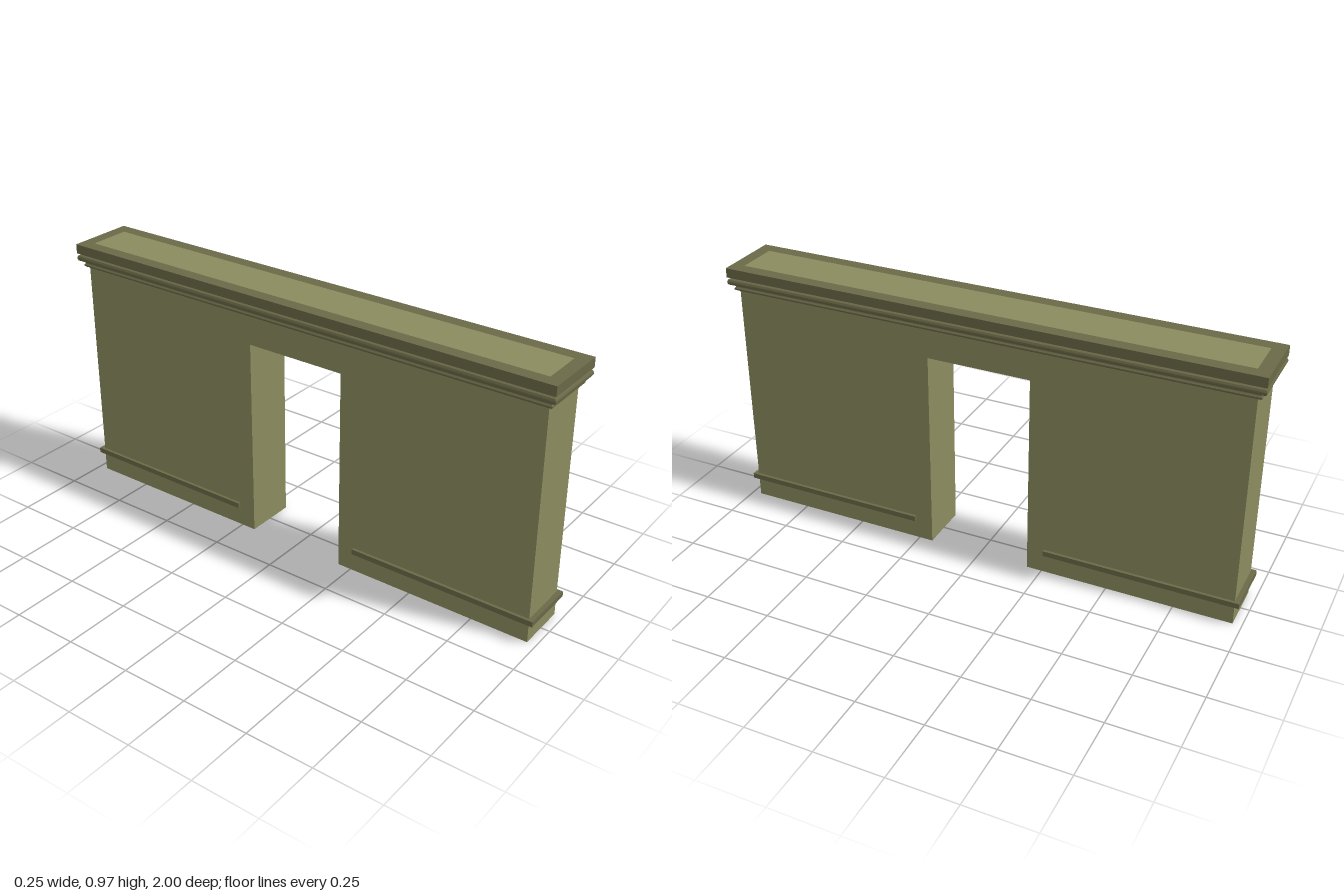
import * as THREE from 'three';

const wallMat = new THREE.MeshStandardMaterial({ color: 0x8b8b5f });
wallMat.name = 'olive wall';
const trimMat = new THREE.MeshStandardMaterial({ color: 0x6a6948 });
trimMat.name = 'dark olive trim';

// Sweep an [offset, y] profile, listed upwards, around a mitred rectangle
function sweepRectangle(halfX, halfZ, profile) {
  const corners = [[-1, 1], [1, 1], [1, -1], [-1, -1]];
  const point = (c, [o, y]) => [c[0] * (halfX + o), y, c[1] * (halfZ + o)];
  const pos = [];
  corners.forEach((c, i) => {
    const next = corners[(i + 1) % 4];
    for (let j = 0; j < profile.length - 1; j++) {
      const a = point(c, profile[j]), b = point(next, profile[j]);
      const d = point(c, profile[j + 1]), e = point(next, profile[j + 1]);
      pos.push(...a, ...b, ...e, ...a, ...e, ...d);
    }
  });
  const geo = new THREE.BufferGeometry();
  geo.setAttribute('position', new THREE.Float32BufferAttribute(pos, 3));
  geo.computeVertexNormals();
  return geo;
}

export function createModel() {
  const model = new THREE.Group();
  model.name = 'wallWithDoorway';

  const add = (name, geo, mat) => {
    const mesh = new THREE.Mesh(geo, mat);
    mesh.name = name;
    model.add(mesh);
    return mesh;
  };

  // Wall outline in (z, y) with the doorway cut from the bottom edge
  const outline = new THREE.Shape([
    [-0.967, 0], [-0.193, 0], [-0.193, 0.767], [0.197, 0.767],
    [0.197, 0], [0.967, 0], [0.967, 0.95], [-0.967, 0.95],
  ].map(([z, y]) => new THREE.Vector2(-z, y)));
  const wall = new THREE.ExtrudeGeometry(outline, { depth: 0.195, bevelEnabled: false });
  wall.translate(0, 0, -0.0975);
  wall.rotateY(Math.PI / 2);
  add('wall', wall, wallMat);

  // Moulded cornice: bead, rounded torus and square fascia
  add('cornice', sweepRectangle(0.0975, 0.97, [
    [-0.004, 0.88], [0.009, 0.88], [0.013, 0.884], [0.013, 0.888],
    [0.009, 0.893], [0.007, 0.9], [0.02, 0.902], [0.027, 0.906],
    [0.03, 0.912], [0.03, 0.918], [0.027, 0.925], [0.019, 0.929],
    [0.019, 0.934], [0.03, 0.934], [0.03, 0.97], [-0.018, 0.97],
  ]), trimMat);

  // Flush panel in the top of the cornice
  add('topPanel', new THREE.BoxGeometry(0.16, 0.008, 1.905), wallMat).position.y = 0.966;

  // Base rails wrap the wall ends and stop short of the doorway
  for (const [name, z0, z1] of [['frontRail', 0.262, 0.985], ['backRail', -0.985, -0.258]]) {
    add(name, new THREE.BoxGeometry(0.218, 0.02, z1 - z0), trimMat)
      .position.set(0, 0.085, (z0 + z1) / 2);
  }
  return model;
}
